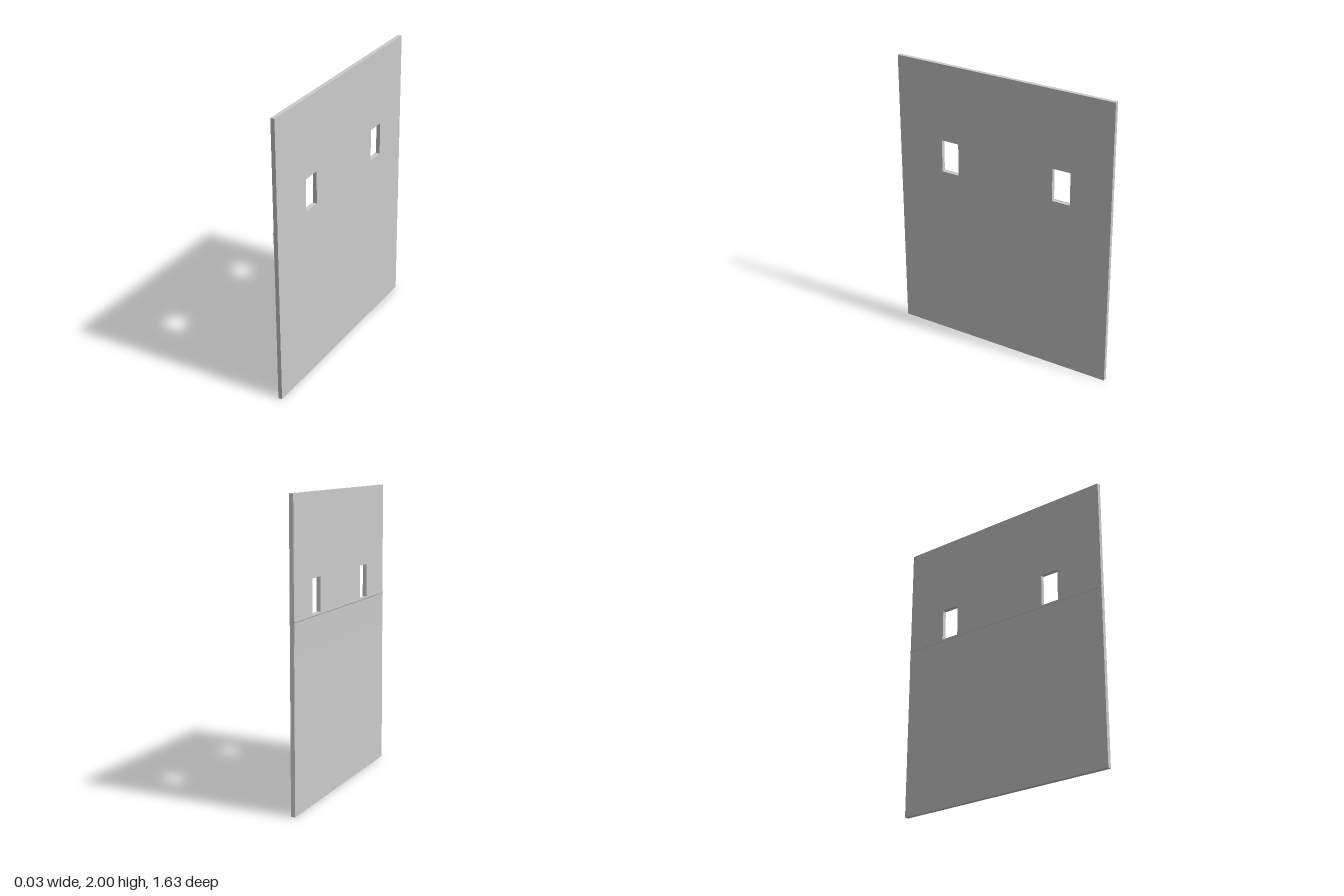
import * as THREE from 'three';

const W = 0.814, H = 2, FACE = 0.016, BACK = -0.012;

export function createModel() {
  const group = new THREE.Group();
  const material = new THREE.MeshStandardMaterial({ color: 0xcccccc, flatShading: true });

  // Rectangle in the wall plane: u runs along z, v runs up
  const rect = (path, u0, u1, v0, v1) => {
    path.moveTo(u0, v0).lineTo(u1, v0).lineTo(u1, v1).lineTo(u0, v1).closePath();
    return path;
  };

  // Wall panel with two window openings, extruded through its thickness
  const outline = rect(new THREE.Shape(), -W, W, 0, H);
  for (const z of [0.407, -0.45]) {
    outline.holes.push(rect(new THREE.Path(), z - 0.066, z + 0.066, 1.233, 1.461));
  }
  const wallGeo = new THREE.ExtrudeGeometry(outline, { depth: FACE - BACK, bevelEnabled: false });
  wallGeo.rotateY(-Math.PI / 2).translate(FACE, 0, 0);
  const wall = new THREE.Mesh(wallGeo, material);
  wall.name = 'wall';
  group.add(wall);

  // Thin rail on the -x face: small lip on top, tapering down into the wall
  const profile = new THREE.Shape([
    [BACK, 0.995], [BACK, 1.234], [-0.017, 1.234], [-0.017, 1.222], [-0.0142, 1.218],
  ].map(([x, y]) => new THREE.Vector2(x, y)));
  const railGeo = new THREE.ExtrudeGeometry(profile, { depth: 2 * W, bevelEnabled: false });
  railGeo.translate(0, 0, -W);
  const rail = new THREE.Mesh(railGeo, material);
  rail.name = 'windowSillRail';
  group.add(rail);

  return group;
}
